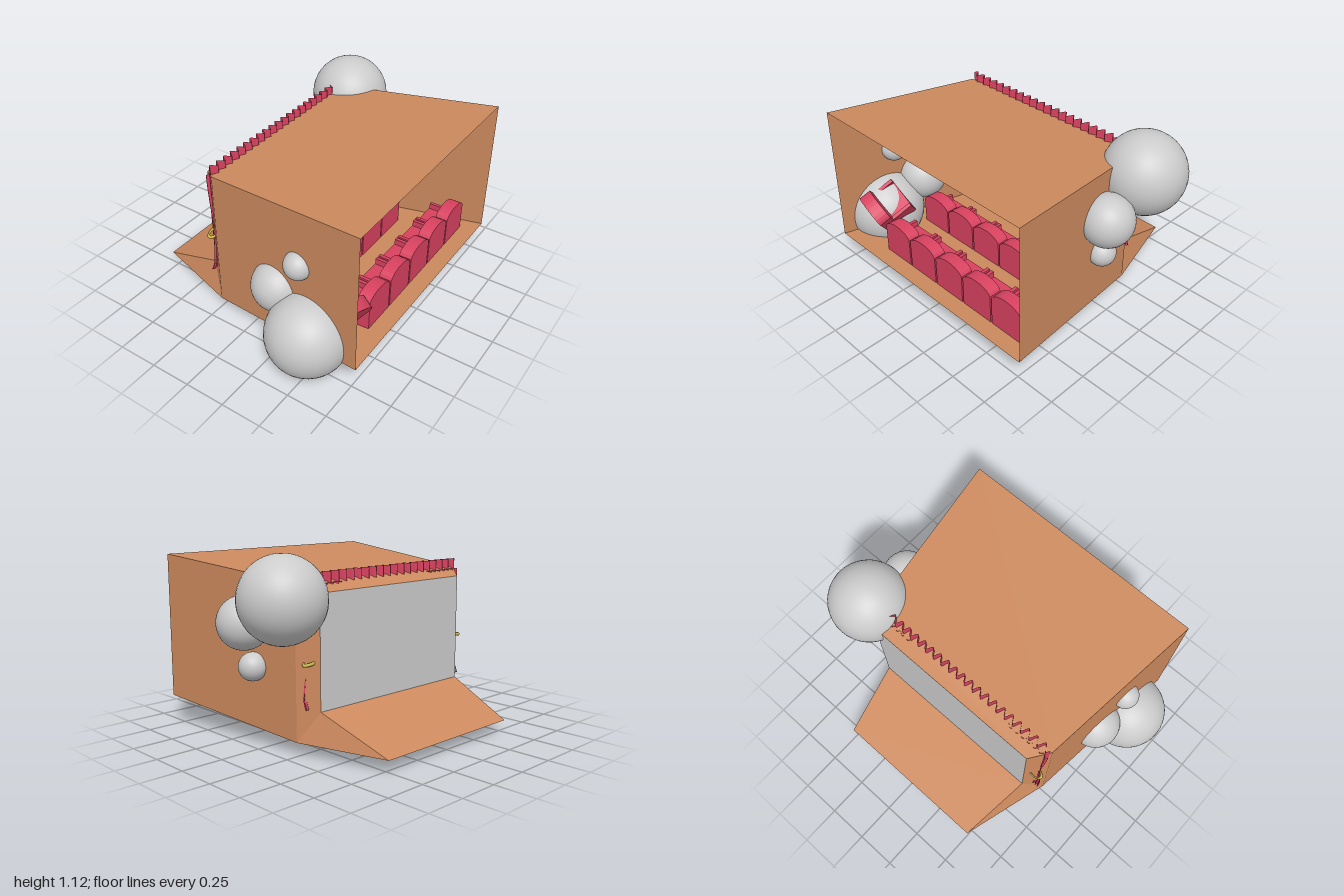
import * as THREE from 'three';
import { ParametricGeometry } from 'three/addons/geometries/ParametricGeometry.js';

const mat = (color) => new THREE.MeshStandardMaterial({ color, side: THREE.DoubleSide });
const wood = mat(0xcd8a5e), cloth = mat(0xd8415f), gold = mat(0xd4c04a), grey = mat(0xcccccc);

function add(parent, name, geometry, material) {
  const mesh = new THREE.Mesh(geometry, material);
  mesh.name = name;
  parent.add(mesh);
  return mesh;
}

// Flat convex panels, each a list of [x, y, z] corners
function panels(faces) {
  const pos = [];
  for (const f of faces)
    for (let i = 1; i < f.length - 1; i++) pos.push(...f[0], ...f[i], ...f[i + 1]);
  const g = new THREE.BufferGeometry();
  g.setAttribute('position', new THREE.Float32BufferAttribute(pos, 3));
  g.computeVertexNormals();
  return g;
}

// Four corners of a section across the hall
const ring = (x, y0, y1, z0, z1) => [[x, y0, z1], [x, y0, z0], [x, y1, z0], [x, y1, z1]];
// Sides joining two sections: floor, back wall, ceiling, front wall
const join = (a, b) => a.map((p, i) => [p, a[(i + 1) % 4], b[(i + 1) % 4], b[i]]);

// Smooth interpolation through [t, value] pairs
function lerpTable(table, t) {
  for (let i = 1; i < table.length; i++) {
    const [t0, v0] = table[i - 1], [t1, v1] = table[i];
    if (t <= t1) return v0 + (v1 - v0) * THREE.MathUtils.smoothstep(t, t0, t1);
  }
  return table[table.length - 1][1];
}

// One seat: arched backrest behind a cushion with armrests; faces -x, base at y = 0
function makeSeat() {
  const seat = new THREE.Group();
  seat.name = 'seat';
  const w = 0.112;
  const arch = new THREE.Shape();
  arch.moveTo(-w, 0);
  arch.lineTo(w, 0);
  arch.lineTo(w, 0.2);
  arch.bezierCurveTo(w * 0.75, 0.263, -w * 0.75, 0.263, -w, 0.2);
  const back = new THREE.ExtrudeGeometry(arch, { depth: 0.08, bevelEnabled: false, curveSegments: 10 });
  back.rotateY(Math.PI / 2).translate(0.03, 0, 0);
  add(seat, 'backrest', back, cloth);
  add(seat, 'cushion', new THREE.BoxGeometry(0.15, 0.09, 0.17).translate(-0.035, 0.05, 0), cloth);
  for (const s of [-1, 1])
    add(seat, 'armrest', new THREE.BoxGeometry(0.15, 0.13, 0.022).translate(-0.035, 0.065, s * 0.1), cloth);
  return seat;
}

export function createModel() {
  const model = new THREE.Group();
  model.name = 'theatre';

  // Hall shell, open at the +x end, narrowing to the screen
  const open = ring(0.79, 0.18, 1.06, -0.8, 0.78);
  const neck = ring(-0.24, 0.08, 0.96, -0.67, 0.66);
  const sill = ring(-0.24, 0.24, 0.96, -0.67, 0.66);
  const end = ring(-0.35, 0.26, 0.91, -0.59, 0.57);
  add(model, 'hall', panels([...join(open, neck), ...join(sill, end)]), wood);
  add(model, 'screen', panels([end]), grey);

  // Wedge under and behind the screen
  const tip = [[-0.79, 0.08, 0.5], [-0.79, 0.08, -0.52]];
  add(model, 'ramp', panels([
    [end[0], end[1], tip[1], tip[0]],
    [neck[0], neck[1], tip[1], tip[0]],
    [neck[0], sill[0], end[0], tip[0]],
    [neck[1], sill[1], end[1], tip[1]],
    [neck[0], neck[1], sill[1], sill[0]],
  ]), wood);

  // Pleated valance with a scalloped hem
  const hem = (z) => {
    const a = Math.abs(z);
    if (a < 0.37) return 0.81 + 0.03 * a / 0.37 + 0.048 * Math.sin(Math.PI * a / 0.37);
    const t = (a - 0.37) / 0.28;
    return 0.84 - 0.04 * t + 0.05 * Math.sin(Math.PI * Math.min(t, 1));
  };
  add(model, 'valance', new ParametricGeometry((u, v, p) => {
    const z = -0.66 + 1.31 * u;
    p.set(-0.252 + 0.02 * Math.sin(u * Math.PI * 44), THREE.MathUtils.lerp(hem(z), 1.01, v), z);
  }, 260, 4), cloth);

  // Side curtains gathered by a tie; inner and outer edges by height
  const inner = [[0.27, 0.54], [0.42, 0.575], [0.53, 0.59], [0.6, 0.545], [0.72, 0.44], [0.95, 0.36]];
  const outer = [[0.27, 0.655], [0.53, 0.635], [0.95, 0.66]];
  for (const s of [-1, 1]) {
    add(model, 'curtain', new ParametricGeometry((u, v, p) => {
      const y = 0.27 + 0.68 * v;
      const z = THREE.MathUtils.lerp(lerpTable(inner, y), lerpTable(outer, y), u);
      const flare = 0.02 * Math.max(0, 1 - v * 12);
      p.set(-0.278 - flare + 0.007 * Math.sin(u * Math.PI * 14), y, s * z);
    }, 84, 30), cloth);

    const tie = add(model, 'curtainTie', new THREE.TorusGeometry(0.04, 0.008, 8, 28).rotateX(Math.PI / 2), gold);
    tie.scale.set(0.65, 1.3, 1.1);
    tie.position.set(-0.295, 0.53, s * 0.615);
    tie.rotation.x = s * 0.2;
  }

  // Two staggered rows of seats
  const pitch = 0.235;
  const placeSeat = (x, y, z) => {
    const seat = makeSeat();
    seat.position.set(x, y, z);
    model.add(seat);
    return seat;
  };
  for (let i = -2; i <= 2; i++) placeSeat(0.17, 0.1, i * pitch);
  for (let i = -3; i <= 1; i++) placeSeat(0.57, 0.153, (i + 0.5) * pitch);

  // Loose seat tumbling out of the near row
  const loose = placeSeat(0.5, 0.31, 0.64);
  loose.name = 'looseSeat';
  loose.rotation.set(-0.5, 0, -0.6);

  // Balls sunk in the side walls: x, y, z, radius
  const balls = [
    [-0.24, 0.88, -0.755, 0.245], [0.08, 0.722, -0.77, 0.155], [0.06, 0.47, -0.73, 0.083],
    [0.465, 0.25, 0.755, 0.245], [0.21, 0.42, 0.675, 0.155], [0.385, 0.675, 0.725, 0.083],
  ];
  for (const [x, y, z, r] of balls)
    add(model, 'ball', new THREE.SphereGeometry(r, 40, 28), grey).position.set(x, y, z);

  return model;
}
